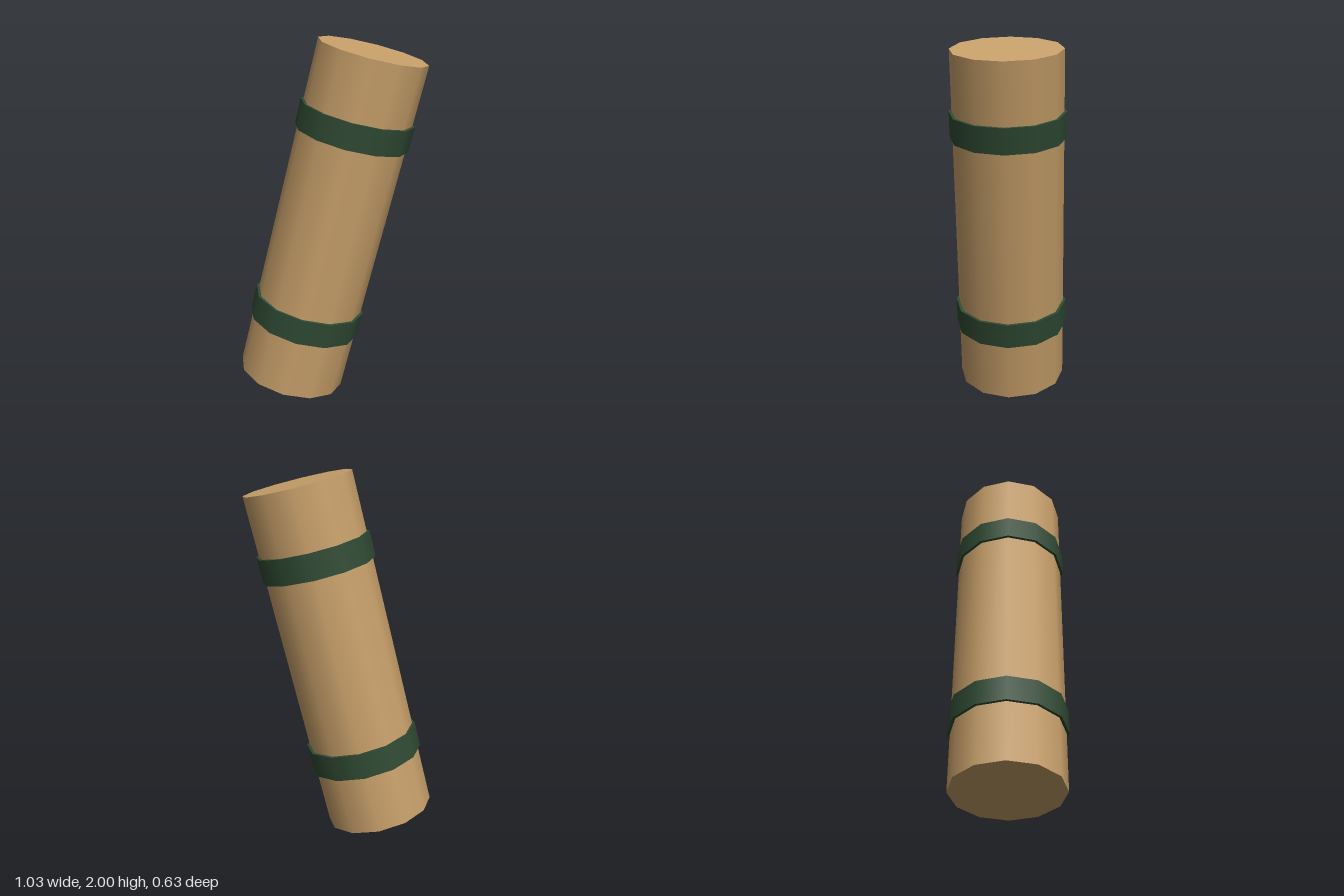
import * as THREE from 'three';

const SIDES = 12;
const TILT = 0.24;

export function createModel() {
  const wood = new THREE.MeshStandardMaterial({ color: 0xc8a06a });
  wood.name = 'tan wood';
  const green = new THREE.MeshStandardMaterial({ color: 0x2f4a33 });
  green.name = 'dark green';

  const model = new THREE.Group();
  model.name = 'bandedLog';

  // Everything shares one leaning axis through the centre of the model
  const leaning = new THREE.Group();
  leaning.name = 'leaningLog';
  leaning.position.y = 1;
  leaning.rotation.z = -TILT;
  model.add(leaning);

  const addCylinder = (name, radius, height, y, material) => {
    const mesh = new THREE.Mesh(new THREE.CylinderGeometry(radius, radius, height, SIDES), material);
    mesh.name = name;
    mesh.position.y = y;
    leaning.add(mesh);
  };

  // Log body
  addCylinder('body', 0.298, 1.913, 0, wood);

  // Two straps wrapped around the body
  addCylinder('upperBand', 0.313, 0.14, 0.556, green);
  addCylinder('lowerBand', 0.313, 0.14, -0.556, green);

  return model;
}
